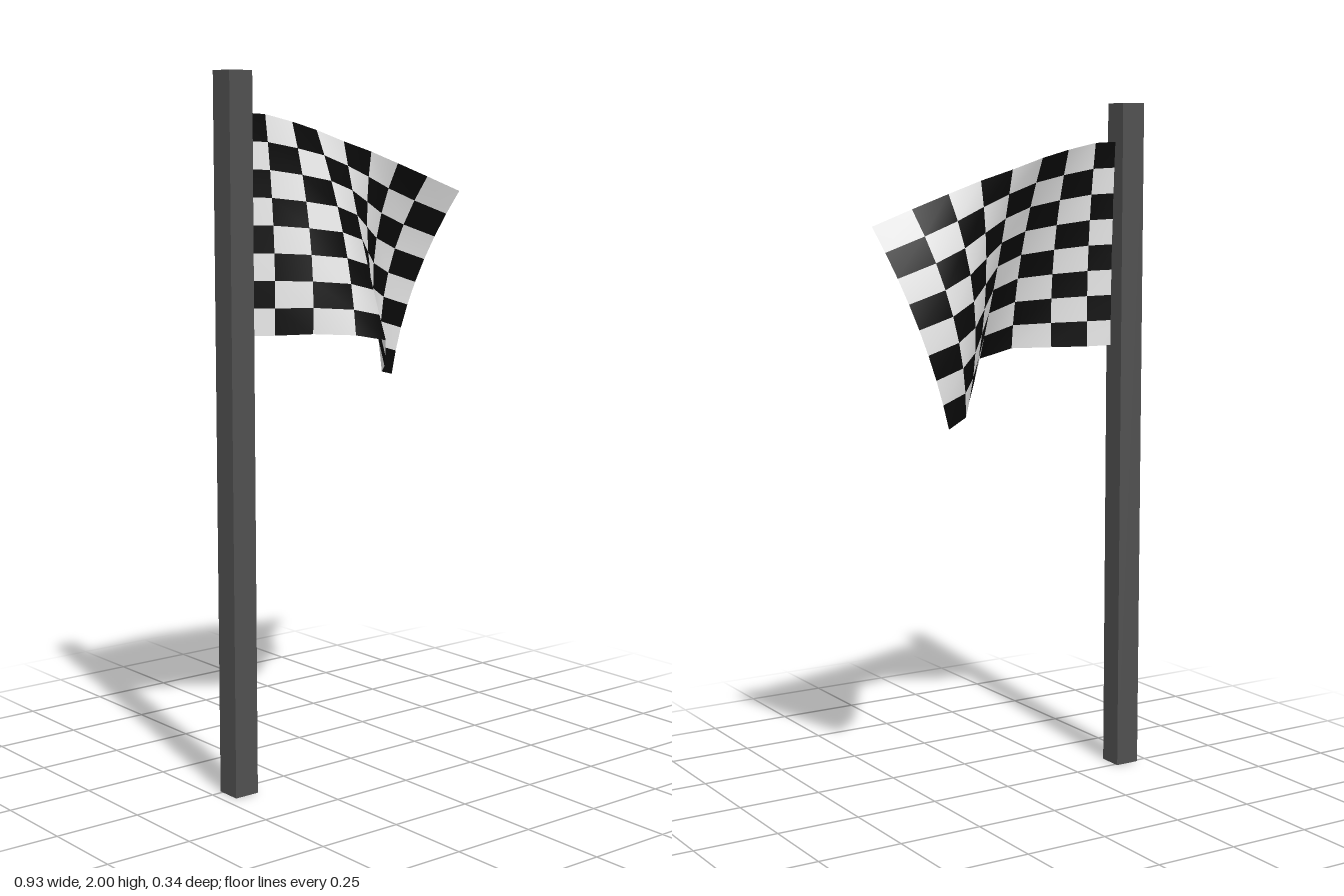
import * as THREE from 'three';

const CELLS = 8;

// Top and bottom hems of the cloth, one point per column from pole to fly end
const topHem = [
  [-0.425, 1.89, 0.03], [-0.315, 1.885, 0.02], [-0.2, 1.865, -0.01],
  [-0.095, 1.842, -0.035], [0.015, 1.81, -0.05], [0.125, 1.78, -0.06],
  [0.235, 1.745, -0.07], [0.35, 1.705, -0.07], [0.465, 1.66, -0.055],
];
const bottomHem = [
  [-0.425, 1.29, 0.035], [-0.32, 1.287, 0.065], [-0.215, 1.287, 0.1],
  [-0.12, 1.283, 0.17], [0, 1.26, 0.155], [0.07, 1.205, 0.07],
  [0.135, 1.16, -0.01], [0.2, 1.13, -0.1], [0.29, 1.11, -0.16],
];
// How far each column billows forward or back at mid height
const billow = [0, 0.015, 0.03, 0.03, -0.01, -0.045, -0.08, -0.075, -0.047];

function clothGeometry() {
  const positions = [];
  for (let r = 0; r <= CELLS; r++) {
    const v = r / CELLS;
    for (let c = 0; c <= CELLS; c++) {
      const p = new THREE.Vector3(...topHem[c]).lerp(new THREE.Vector3(...bottomHem[c]), v);
      p.z += billow[c] * 4 * v * (1 - v);
      positions.push(p.x, p.y, p.z);
    }
  }
  // Checks sorted by colour; shared corners keep the cloth smooth
  const checks = [[], []];
  for (let r = 0; r < CELLS; r++) {
    for (let c = 0; c < CELLS; c++) {
      const a = r * (CELLS + 1) + c;
      const b = a + CELLS + 1;
      checks[(r + c) % 2].push(a, b, b + 1, a, b + 1, a + 1);
    }
  }
  const geometry = new THREE.BufferGeometry();
  geometry.setAttribute('position', new THREE.Float32BufferAttribute(positions, 3));
  geometry.setIndex([...checks[0], ...checks[1]]);
  geometry.addGroup(0, checks[0].length, 0);
  geometry.addGroup(checks[0].length, checks[1].length, 1);
  geometry.computeVertexNormals();
  return geometry;
}

export function createModel() {
  const poleGrey = new THREE.MeshStandardMaterial({ color: 0x505050 });
  poleGrey.name = 'pole grey';
  const checkBlack = new THREE.MeshStandardMaterial({ color: 0x0a0a0a, side: THREE.DoubleSide });
  checkBlack.name = 'check black';
  const checkWhite = new THREE.MeshStandardMaterial({ color: 0xe8e8e8, side: THREE.DoubleSide });
  checkWhite.name = 'check white';

  const model = new THREE.Group();
  model.name = 'chequeredFlag';

  // Square pole
  const pole = new THREE.Mesh(new THREE.BoxGeometry(0.075, 2, 0.075), poleGrey);
  pole.name = 'pole';
  pole.position.set(-0.428, 1, 0.028);
  model.add(pole);

  // Waving cloth
  const cloth = new THREE.Mesh(clothGeometry(), [checkBlack, checkWhite]);
  cloth.name = 'flagCloth';
  model.add(cloth);

  return model;
}
